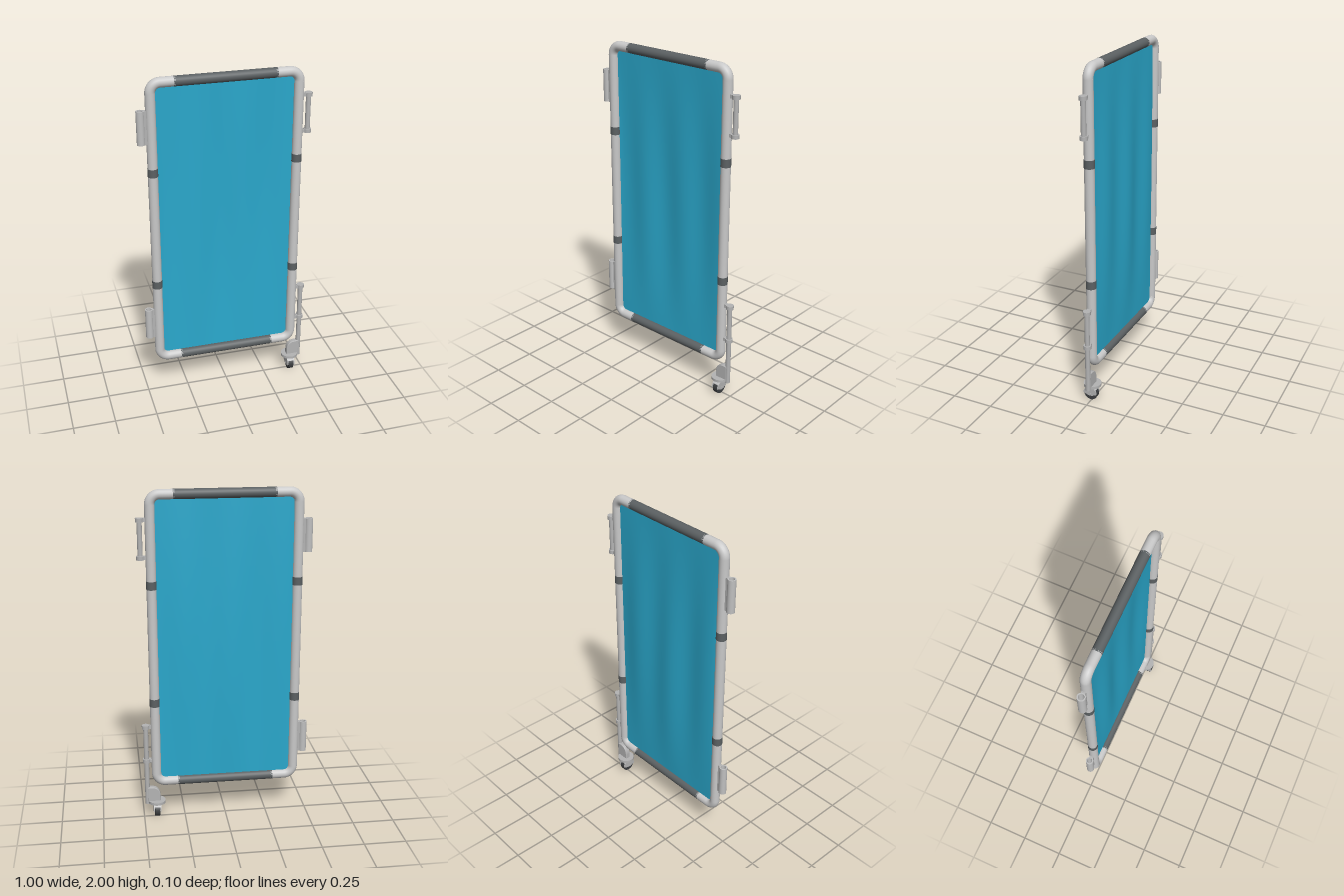
import * as THREE from 'three';

const mat = (name, color, side = THREE.FrontSide) => {
  const m = new THREE.MeshStandardMaterial({ color, side });
  m.name = name;
  return m;
};

export function createModel() {
  const frameGrey = mat('frame grey', 0xc9c9c9);
  const metal = mat('hardware grey', 0xb4b4b4);
  const hollowMetal = mat('hinge grey', 0xc0c0c0, THREE.DoubleSide);
  const grip = mat('dark grip', 0x5c6163);
  const rubber = mat('wheel rubber', 0x3c3e40);
  const teal = mat('teal fabric', 0x2aa8cc, THREE.DoubleSide);

  const model = new THREE.Group();
  model.name = 'gatePanel';
  const add = (name, geo, material, x = 0, y = 0, z = 0, parent = model) => {
    const m = new THREE.Mesh(geo, material);
    m.name = name;
    m.position.set(x, y, z);
    parent.add(m);
    return m;
  };
  const post = (name, r, y0, y1, material, x, z = 0, seg = 24) =>
    add(name, new THREE.CylinderGeometry(r, r, y1 - y0, seg), material, x, (y0 + y1) / 2, z);

  // Tubular frame: straight rails and rounded corners
  const R = 0.0285, X = 0.419, Y0 = 0.237, Y1 = 1.9715, C = 0.055;
  const V = (x, y) => new THREE.Vector3(x, y, 0);
  for (const s of [-1, 1]) {
    post('sideRail', R, Y0 + C, Y1 - C, frameGrey, s * X);
    for (const [y, d] of [[Y0, 1], [Y1, -1]]) {
      const q = new THREE.TorusGeometry(C, R, 20, 14, Math.PI / 2);
      const start = s > 0 ? (d < 0 ? 0 : -Math.PI / 2) : (d < 0 ? Math.PI / 2 : Math.PI);
      q.rotateZ(start);
      add('frameCorner', q, frameGrey, s * (X - C), y + d * C);
      const stub = new THREE.LineCurve3(V(s * 0.28, y), V(s * (X - C), y));
      add('frameRailEnd', new THREE.TubeGeometry(stub, 1, R, 20), frameGrey);
    }
    // Dark collars on the side rails
    for (const y of [0.752, 1.462]) post('railCollar', R + 0.0012, y - 0.024, y + 0.024, grip, s * X);
  }

  // Dark sleeves on the top and bottom rails
  for (const y of [Y0, Y1]) {
    const g = new THREE.CylinderGeometry(R, R, 0.58, 24);
    g.rotateZ(Math.PI / 2);
    add('railSleeve', g, grip, 0, y);
  }

  // Fabric with soft vertical folds that fade towards the edges
  const W = 0.80, H = 1.70;
  const cloth = new THREE.PlaneGeometry(W, H, 40, 30);
  const p = cloth.attributes.position;
  for (let i = 0; i < p.count; i++) {
    const x = p.getX(i), y = p.getY(i);
    const fade = Math.cos((x / W) * Math.PI) ** 0.5 * Math.cos((y / H) * Math.PI);
    const fold = -0.012 + 0.009 * Math.cos(21 * (x + 0.04) + 0.5 * y) * -1
      - 0.004 * Math.sin(9 * x - 1.5 * y);
    p.setZ(i, -0.004 + (fade > 0 ? fade * fold : 0));
  }
  cloth.computeVertexNormals();
  add('fabricPanel', cloth, teal, 0, (Y0 + Y1) / 2);

  // Hinge sleeves: hollow tubes with a web to the rail
  for (const [y0, y1] of [[0.39, 0.582], [1.63, 1.822]]) {
    const h = (y1 - y0) / 2;
    const ring = [[0.016, -h], [0.023, -h], [0.023, h], [0.016, h], [0.016, -h]]
      .map(([r, y]) => new THREE.Vector2(r, y));
    // Each wall has its own profile so the rims stay sharp
    for (let i = 0; i < 4; i++) {
      add('hingeSleeve', new THREE.LatheGeometry([ring[i], ring[i + 1]], 24), hollowMetal, -0.477, (y0 + y1) / 2);
    }
    add('hingeWeb', new THREE.BoxGeometry(0.02, 2 * h, 0.024), metal, -0.449, (y0 + y1) / 2);
  }

  // Latch brackets: guide rings joined to the rail, with a rod between
  const RX = 0.477;
  for (const y of [1.62, 1.833, 0.378, 0.597]) {
    post('guideRing', 0.0225, y - 0.011, y + 0.011, metal, RX);
    add('guideArm', new THREE.BoxGeometry(0.04, 0.02, 0.024), metal, 0.453, y);
  }
  post('upperRod', 0.0145, 1.615, 1.84, metal, RX);
  post('dropRod', 0.0145, 0.09, 0.6, metal, RX);

  // Caster: curved arm from the rod to a round mounting plate
  const arm = new THREE.Shape();
  arm.moveTo(0.398, 0.1);
  arm.lineTo(0.398, 0.145);
  arm.quadraticCurveTo(0.402, 0.198, 0.45, 0.2);
  arm.lineTo(RX, 0.2);
  arm.lineTo(RX, 0.1);
  arm.closePath();
  const armGeo = new THREE.ExtrudeGeometry(arm, {
    depth: 0.02, bevelEnabled: true, bevelSize: 0.004, bevelThickness: 0.006, bevelOffset: -0.004, bevelSegments: 3,
  });
  add('casterArm', armGeo, metal, 0, 0, -0.01);
  const CX = 0.42, CZ = 0.007;
  post('casterPlate', 0.052, 0.094, 0.11, metal, CX, 0, 32);
  post('casterSwivel', 0.022, 0.078, 0.096, metal, CX, 0);

  // Wheel with fork cheeks and a hood over the top
  const wheel = new THREE.CylinderGeometry(0.041, 0.041, 0.03, 32);
  wheel.rotateZ(Math.PI / 2);
  add('wheel', wheel, rubber, CX, 0.041, CZ);
  const hood = new THREE.CylinderGeometry(0.043, 0.043, 0.046, 24, 1, false, 0, Math.PI);
  const cheek = new THREE.Shape();
  cheek.absarc(0, 0, 0.042, 0, Math.PI, false);
  cheek.lineTo(-0.012, -0.014);
  cheek.lineTo(0.012, -0.014);
  cheek.closePath();
  for (const s of [-1, 1]) {
    const g = new THREE.ExtrudeGeometry(cheek, { depth: 0.006, bevelEnabled: false, curveSegments: 20 });
    g.translate(0, 0, -0.003);
    g.rotateY(Math.PI / 2);
    add('forkCheek', g, metal, CX + s * 0.02, 0.044, CZ);
  }
  const band = new THREE.CylinderGeometry(0.043, 0.043, 0.046, 24, 1, true, Math.PI * 0.2, Math.PI * 0.6);
  band.rotateZ(Math.PI / 2);
  add('wheelHood', band, hollowMetal, CX, 0.044, CZ);
  hood.dispose();
  const axle = new THREE.CylinderGeometry(0.007, 0.007, 0.05, 12);
  axle.rotateZ(Math.PI / 2);
  add('axle', axle, metal, CX, 0.041, CZ);

  return model;
}
